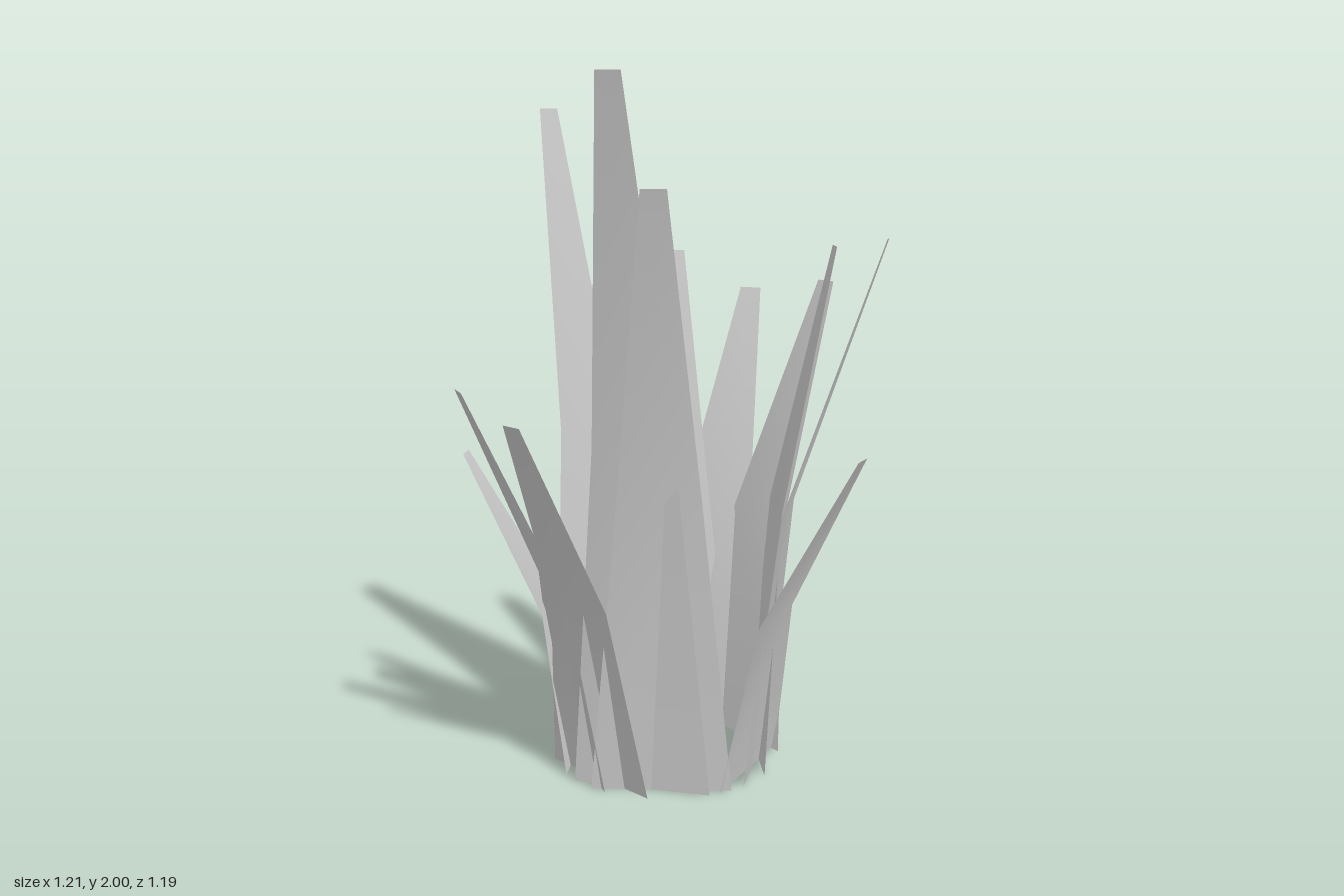
import * as THREE from 'three';

// Ring the blades grow from, and the half widths at root, bend and tip
const CENTRE_X = -0.02, CENTRE_Z = 0.055, ROOT_RADIUS = 0.27;
const HALF_WIDTHS = [0.2, 0.117, 0.034];

// Tip of every blade: x, height, z
const TIPS = [
  [0.022, 2.0, 0.59], [0.135, 1.71, 0.573], [0.58, 0.96, 0.13], [0.603, 1.555, -0.022],
  [0.422, 1.52, -0.145], [0.317, 1.385, -0.462], [0.036, 1.34, -0.592], [-0.175, 1.465, -0.445],
  [-0.47, 1.905, -0.157], [-0.598, 0.912, 0.19], [-0.478, 1.147, 0.465], [-0.27, 1.08, 0.57],
];

// Tapered sheet of two segments that curves outwards as it rises
function bladeGeometry([tipX, height, tipZ]) {
  const dx = tipX - CENTRE_X, dz = tipZ - CENTRE_Z;
  const reach = Math.hypot(dx, dz);
  const ux = dx / reach, uz = dz / reach;
  const positions = [], index = [];
  HALF_WIDTHS.forEach((w, i) => {
    const t = i / 2;
    const r = ROOT_RADIUS + (reach - ROOT_RADIUS) * t * t;
    for (const side of [-1, 1]) {
      positions.push(
        CENTRE_X + ux * r + uz * w * side,
        height * t,
        CENTRE_Z + uz * r - ux * w * side
      );
    }
    if (i < 2) {
      const a = i * 2;
      index.push(a, a + 1, a + 3, a, a + 3, a + 2);
    }
  });
  const geometry = new THREE.BufferGeometry();
  geometry.setAttribute('position', new THREE.Float32BufferAttribute(positions, 3));
  geometry.setIndex(index);
  geometry.computeVertexNormals();
  return geometry;
}

export function createModel() {
  const group = new THREE.Group();
  group.name = 'grassTuft';
  const grey = new THREE.MeshStandardMaterial({ color: 0xcccccc, side: THREE.DoubleSide });
  grey.name = 'pale grey';
  TIPS.forEach((tip, i) => {
    const blade = new THREE.Mesh(bladeGeometry(tip), grey);
    blade.name = `blade${i + 1}`;
    group.add(blade);
  });
  return group;
}
